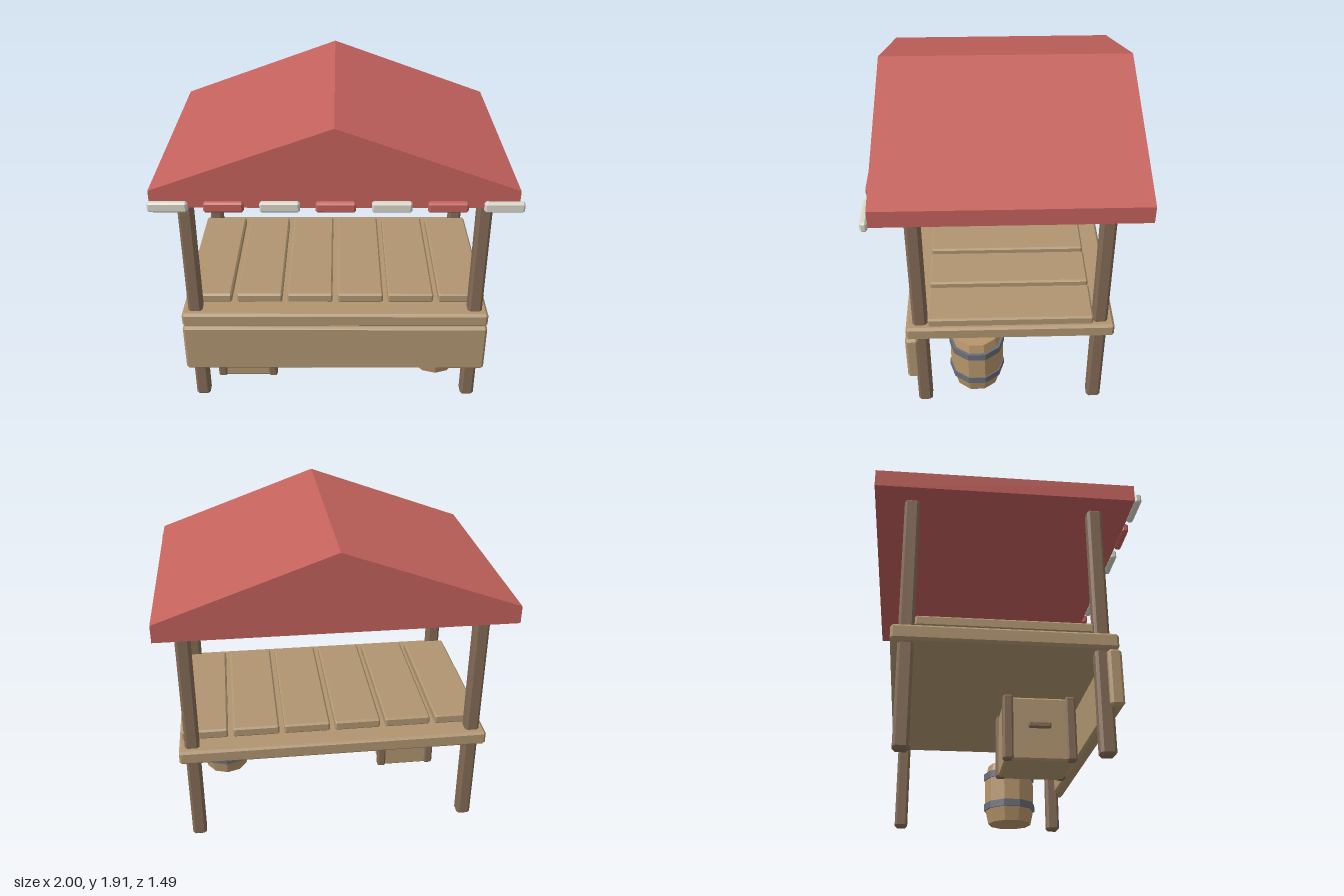
import * as THREE from 'three';
import { ConvexGeometry } from 'three/addons/geometries/ConvexGeometry.js';

const mat = (color) => new THREE.MeshStandardMaterial({ color, flatShading: true });
const MATS = {
  post: mat(0x846b56),
  wood: mat(0xb09570),
  stave: mat(0xb8966c),
  cloth: mat(0xc4625d),
  pale: mat(0xd8d6c8),
  iron: mat(0x6a6e78),
};

// Box with chamfered edges, given by its min and max on each axis
function chamferBox(name, material, [x0, x1], [y0, y1], [z0, z1], bevel = 0.012) {
  const half = [(x1 - x0) / 2, (y1 - y0) / 2, (z1 - z0) / 2];
  const points = [];
  for (const sx of [-1, 1]) for (const sy of [-1, 1]) for (const sz of [-1, 1]) {
    for (let full = 0; full < 3; full++) {
      const h = half.map((v, i) => (i === full ? v : v - bevel));
      points.push(new THREE.Vector3(sx * h[0], sy * h[1], sz * h[2]));
    }
  }
  const mesh = new THREE.Mesh(new ConvexGeometry(points), material);
  mesh.name = name;
  mesh.position.set((x0 + x1) / 2, (y0 + y1) / 2, (z0 + z1) / 2);
  return mesh;
}

const span = (centre, size) => [centre - size / 2, centre + size / 2];

function createRoof() {
  const roof = new THREE.Group();
  roof.name = 'roof';
  // Solid gabled canopy, ridge running front to back
  const gable = new THREE.Shape([
    [-0.99, 1.46], [0.974, 1.46], [0.974, 1.56], [-0.008, 1.914], [-0.99, 1.56],
  ].map(([x, y]) => new THREE.Vector2(x, y)));
  const canopy = new THREE.Mesh(
    new THREE.ExtrudeGeometry(gable, { depth: 1.45, bevelEnabled: false }), MATS.cloth);
  canopy.name = 'canopy';
  canopy.position.z = -0.743;
  roof.add(canopy);
  // Alternating valance tabs along the front eave
  for (let i = 0; i < 7; i++) {
    roof.add(chamferBox('valanceTab', i % 2 ? MATS.cloth : MATS.pale,
      span((i - 3) * 0.297, 0.213), [1.447, 1.506], [0.706, 0.744], 0.01));
  }
  return roof;
}

function createCounter() {
  const counter = new THREE.Group();
  counter.name = 'counter';
  counter.add(chamferBox('tableTop', MATS.wood, [-0.921, 0.908], [0.573, 0.661], [-0.616, 0.579], 0.014));
  counter.add(chamferBox('frontPanel', MATS.wood, [-0.921, 0.908], [0.257, 0.571], [0.514, 0.588], 0.014));
  for (let i = 0; i < 6; i++) {
    counter.add(chamferBox('plank', MATS.wood,
      span(-0.006 + (i - 2.5) * 0.305, 0.274), [0.661, 0.721], [-0.492, 0.452], 0.01));
  }
  return counter;
}

function createCrate() {
  const crate = new THREE.Group();
  crate.name = 'crate';
  const cx = -0.576, cz = 0.171;
  crate.add(chamferBox('crateBody', MATS.wood, span(cx, 0.36), [0.006, 0.344], span(cz, 0.36), 0.01));
  for (const sx of [-1, 1]) {
    for (const sz of [-1, 1]) {
      crate.add(chamferBox('crateCorner', MATS.post,
        span(cx + sx * 0.164, 0.054), [0.005, 0.355], span(cz + sz * 0.164, 0.054), 0.01));
    }
    crate.add(chamferBox('crateHandle', MATS.post,
      span(cx + sx * 0.184, 0.024), span(0.192, 0.034), span(cz, 0.12), 0.008));
  }
  return crate;
}

function createBarrel() {
  const barrel = new THREE.Group();
  barrel.name = 'barrel';
  const profile = [[0, 0], [0.14, 0], [0.162, 0.1], [0.162, 0.293], [0.14, 0.393], [0, 0.393]];
  const body = new THREE.Mesh(
    new THREE.LatheGeometry(profile.map(([r, y]) => new THREE.Vector2(r, y)), 10), MATS.stave);
  body.name = 'barrelBody';
  barrel.add(body);
  for (const y of [0.11, 0.314]) {
    const hoop = new THREE.Mesh(new THREE.CylinderGeometry(0.169, 0.169, 0.045, 10), MATS.iron);
    hoop.name = 'barrelHoop';
    hoop.position.y = y;
    barrel.add(hoop);
  }
  barrel.position.set(0.653, 0, 0.18);
  return barrel;
}

export function createModel() {
  const stall = new THREE.Group();
  stall.name = 'marketStall';
  // Corner posts
  for (const x of [-0.843, 0.831]) {
    for (const z of [0.498, -0.535]) {
      stall.add(chamferBox('post', MATS.post, span(x, 0.084), [0.005, 1.46], span(z, 0.084), 0.015));
    }
  }
  stall.add(createRoof(), createCounter(), createCrate(), createBarrel());
  return stall;
}
